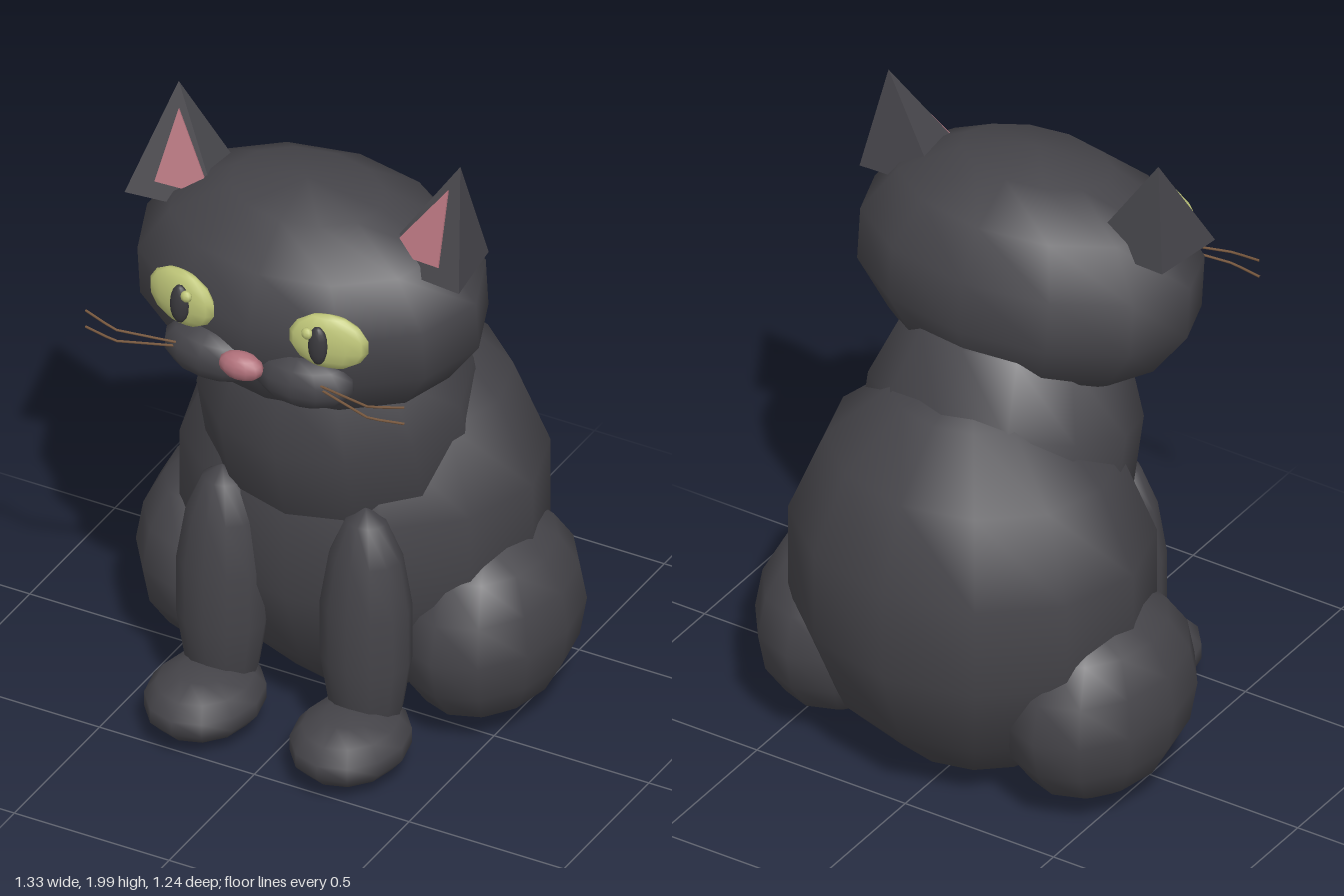
import * as THREE from 'three';
import { ConvexGeometry } from 'three/addons/geometries/ConvexGeometry.js';

const mat = (name, color) => {
  const m = new THREE.MeshStandardMaterial({ color });
  m.name = name;
  return m;
};

export function createModel() {
  const cat = new THREE.Group();
  cat.name = 'cat';
  const fur = mat('charcoal fur', 0x454449);
  const pink = mat('soft pink', 0xb0707a);
  const green = mat('eye green', 0xbfc679);
  const pupilDark = mat('pupil dark', 0x3a393d);
  const brown = mat('whisker brown', 0x7a5a40);

  const v = (x, y, z) => new THREE.Vector3(x, y, z);
  const add = (name, geometry, material) => {
    const mesh = new THREE.Mesh(geometry, material);
    mesh.name = name;
    cat.add(mesh);
    return mesh;
  };

  // Coarse ellipsoid with smooth normals
  const blob = (name, material, pos, radii, rot = [0, 0, 0], w = 12, h = 7) => {
    const mesh = add(name, new THREE.SphereGeometry(1, w, h), material);
    mesh.position.set(...pos);
    mesh.scale.set(...radii);
    mesh.rotation.set(...rot);
    return mesh;
  };

  // Torso, neck and head
  blob('body', fur, [0, 0.645, -0.15], [0.557, 0.635, 0.482]);
  blob('neck', fur, [0, 1.0, -0.005], [0.415, 0.52, 0.377], [0.26, 0, 0]);
  blob('head', fur, [0, 1.505, 0.155], [0.545, 0.36, 0.385], [0.1, 0, 0]);
  blob('nose', pink, [0, 1.447, 0.577], [0.07, 0.043, 0.042], [0, 0, 0], 12, 8);

  for (const s of [1, -1]) {
    const side = s > 0 ? 'left' : 'right';
    const part = (n) => side + n;

    // Legs
    blob(part('Thigh'), fur, [s * 0.415, 0.345, -0.13], [0.252, 0.315, 0.348], [0, 0, 0], 12, 8);
    blob(part('FrontLeg'), fur, [s * 0.232, 0.445, 0.265], [0.14, 0.41, 0.118]);
    blob(part('Paw'), fur, [s * 0.235, 0.125, 0.36], [0.17, 0.1, 0.205]);

    // Muzzle and eyes
    blob(part('Muzzle'), fur, [s * 0.148, 1.395, 0.47], [0.157, 0.088, 0.092], [0, 0, s * 0.05]);
    blob(part('Eye'), green, [s * 0.237, 1.557, 0.492], [0.12, 0.09, 0.036], [0, s * 0.2, 0]);
    blob(part('Pupil'), pupilDark, [s * 0.223, 1.56, 0.532], [0.03, 0.063, 0.022], [0, 0, 0], 12, 8);
    blob(part('EyeGlint'), green, [s * 0.195, 1.6, 0.545], [0.018, 0.018, 0.014], [0, 0, 0], 8, 6);

    // Ear: four-sided pyramid
    const tip = v(s * 0.455, 2.0, 0.116);
    const outer = v(s * 0.54, 1.69, 0.28);
    const inner = v(s * 0.25, 1.69, 0.25);
    add(part('Ear'), new ConvexGeometry([
      tip, outer, inner, v(s * 0.51, 1.69, 0.05), v(s * 0.25, 1.69, 0.06),
    ]), fur);

    // Inner ear: thin plate on the front face; t runs down, u runs inward
    const normal = outer.clone().sub(tip).cross(inner.clone().sub(tip)).normalize();
    if (normal.z < 0) normal.negate();
    const plate = [];
    for (const [t, u] of [[0.22, 0.6], [0.855, 0.28], [0.87, 0.97]]) {
      const p = tip.clone().lerp(outer.clone().lerp(inner, u), t);
      plate.push(p.clone().addScaledVector(normal, -0.002), p.clone().addScaledVector(normal, 0.006));
    }
    add(part('InnerEar'), new ConvexGeometry(plate), pink);

    // Whiskers: two bent strands
    [[1.425, 1.435, 1.455], [1.415, 1.397, 1.4]].forEach(([y0, y1, y2], i) => {
      const path = new THREE.CurvePath();
      const a = v(s * 0.22, y0, 0.53), b = v(s * 0.41, y1, 0.573), c = v(s * 0.515, y2, 0.553);
      path.add(new THREE.LineCurve3(a, b));
      path.add(new THREE.LineCurve3(b, c));
      add(part('Whisker' + (i + 1)), new THREE.TubeGeometry(path, 8, 0.004, 5), brown);
    });
  }
  return cat;
}
